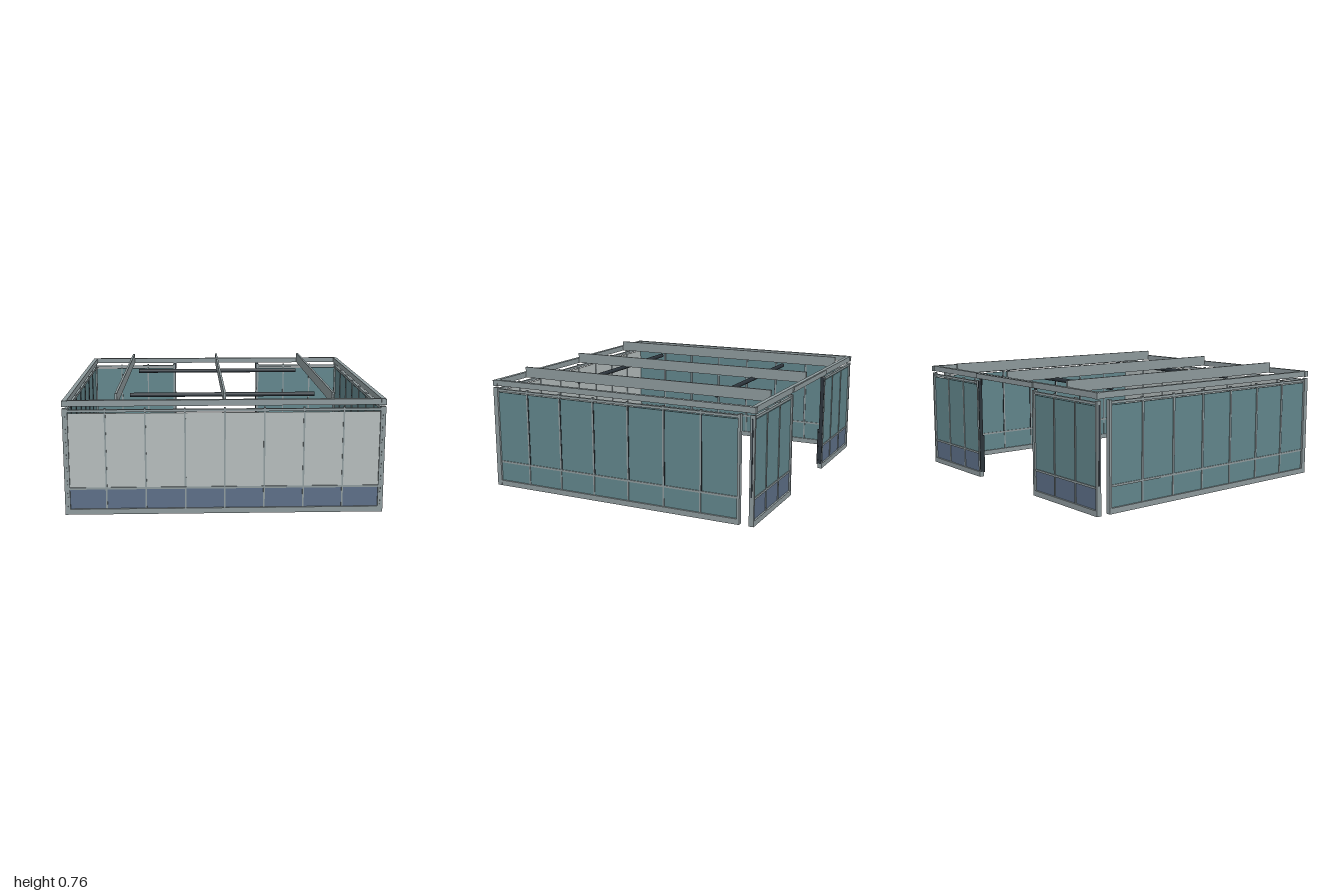
import * as THREE from 'three';

const mat = (name, hex) => {
  const m = new THREE.MeshStandardMaterial({ color: hex });
  m.name = name;
  return m;
};

export function createModel() {
  const frame = mat('grey metal', 0x8e9a9d);
  const pale = mat('pale panel', 0xb5bdbd);
  const teal = mat('teal glass', 0x62868c);
  const blue = mat('blue panel', 0x5d6f87);
  const dark = mat('dark metal', 0x2c343b);

  const model = new THREE.Group();
  model.name = 'pavilion';

  // Box given by its minimum and maximum on each axis
  const box = (parent, name, m, x0, x1, y0, y1, z0, z1) => {
    const mesh = new THREE.Mesh(new THREE.BoxGeometry(x1 - x0, y1 - y0, z1 - z0), m);
    mesh.position.set((x0 + x1) / 2, (y0 + y1) / 2, (z0 + z1) / 2);
    mesh.name = name;
    parent.add(mesh);
    return mesh;
  };

  // Panelled wall along local x, centred, with its outside facing local +z
  const wall = (name, length, bays, upper, lower, seals) => {
    const g = new THREE.Group();
    g.name = name;
    const h = length / 2, d = 0.016, step = (length - 0.016) / bays;
    box(g, 'bottomRail', frame, -h, h, 0, 0.035, -d, d);
    box(g, 'middleRail', frame, -h, h, 0.16, 0.173, -d * 0.6, d * 0.6);
    box(g, 'topRail', frame, -h, h, 0.652, 0.668, -d * 0.6, d * 0.6);
    box(g, 'lowerPanel', lower, -h + 0.008, h - 0.008, 0.035, 0.16, -0.004, 0.004);
    box(g, 'upperPanel', upper, -h + 0.008, h - 0.008, 0.173, 0.645, -0.004, 0.004);
    for (let i = 0; i <= bays; i++) {
      const x = -h + 0.008 + i * step;
      const end = i === 0 || i === bays;
      const w = end ? 0.008 : 0.005, t = end ? d * 0.95 : d * 0.55;
      box(g, end ? 'endPost' : 'mullion', frame, x - w, x + w, 0.03, 0.677, -t, t);
      // Dark seal beside each upper mullion
      if (seals && !end) box(g, 'seal', dark, x + w, x + w + 0.005, 0.173, 0.645, -0.008, 0.008);
    }
    model.add(g);
    return g;
  };

  // Front wall with corner posts
  wall('frontWall', 1.99, 8, pale, blue, false).position.z = 0.919;
  for (const s of [-1, 1]) {
    box(model, 'cornerPost', frame, s * 0.99 - 0.009, s * 0.99 + 0.009, 0, 0.677, 0.903, 0.936);

    // Side walls stop short of the back corners
    const side = wall(s > 0 ? 'leftWall' : 'rightWall', 1.775, 7, teal, teal, true);
    side.rotation.y = s * Math.PI / 2;
    side.position.set(s * 0.982, 0, 0.046);

    // Back walls either side of the wide opening
    const back = wall(s > 0 ? 'backLeftWall' : 'backRightWall', 0.66, 3, teal, blue, false);
    back.rotation.y = Math.PI;
    back.position.set(s * 0.665, 0, -0.918);

    // Dark jamb, outer end seal, door pull and hanging bracket
    box(model, 'openingJamb', dark, s * 0.333 - 0.004, s * 0.333 + 0.004, 0.035, 0.672, -0.931, -0.905);
    box(model, 'endSeal', dark, s * 0.993 - 0.004, s * 0.993 + 0.004, 0.18, 0.655, -0.922, -0.913);
    box(model, 'doorPull', dark, s * 0.337 - 0.006, s * 0.337 + 0.006, 0.03, 0.29, -0.904, -0.895);
    box(model, 'hangingBracket', dark, s * 0.335 - 0.012, s * 0.335 + 0.012, 0.645, 0.69, -0.912, -0.904);

    // Top frame
    box(model, 'sideHeader', frame, s * 0.983 - 0.014, s * 0.983 + 0.014, 0.69, 0.727, -0.925, 0.925);
    box(model, 'endHeader', frame, -0.99, 0.99, 0.69, 0.727, s * 0.919 - 0.014, s * 0.919 + 0.014);
    for (const z of [-0.92, 0.92])
      box(model, 'cornerCap', frame, s * 0.984 - 0.016, s * 0.984 + 0.016, 0.688, 0.725, z - 0.017, z + 0.017);

    // Round cross bars hung under the roof beams
    const bar = new THREE.Mesh(new THREE.CylinderGeometry(0.0145, 0.0145, 1.22, 16), dark);
    bar.name = 'crossBar';
    bar.rotation.z = Math.PI / 2;
    bar.position.set(0, 0.684, s * 0.515);
    model.add(bar);
  }

  // Track plate above the opening
  box(model, 'openingTrack', frame, -0.345, 0.345, 0.692, 0.725, -0.94, -0.932);

  // Deep roof beams
  for (const x of [-0.67, 0, 0.67])
    box(model, 'roofBeam', frame, x - 0.007, x + 0.007, 0.692, 0.765, -0.906, 0.906);

  return model;
}
